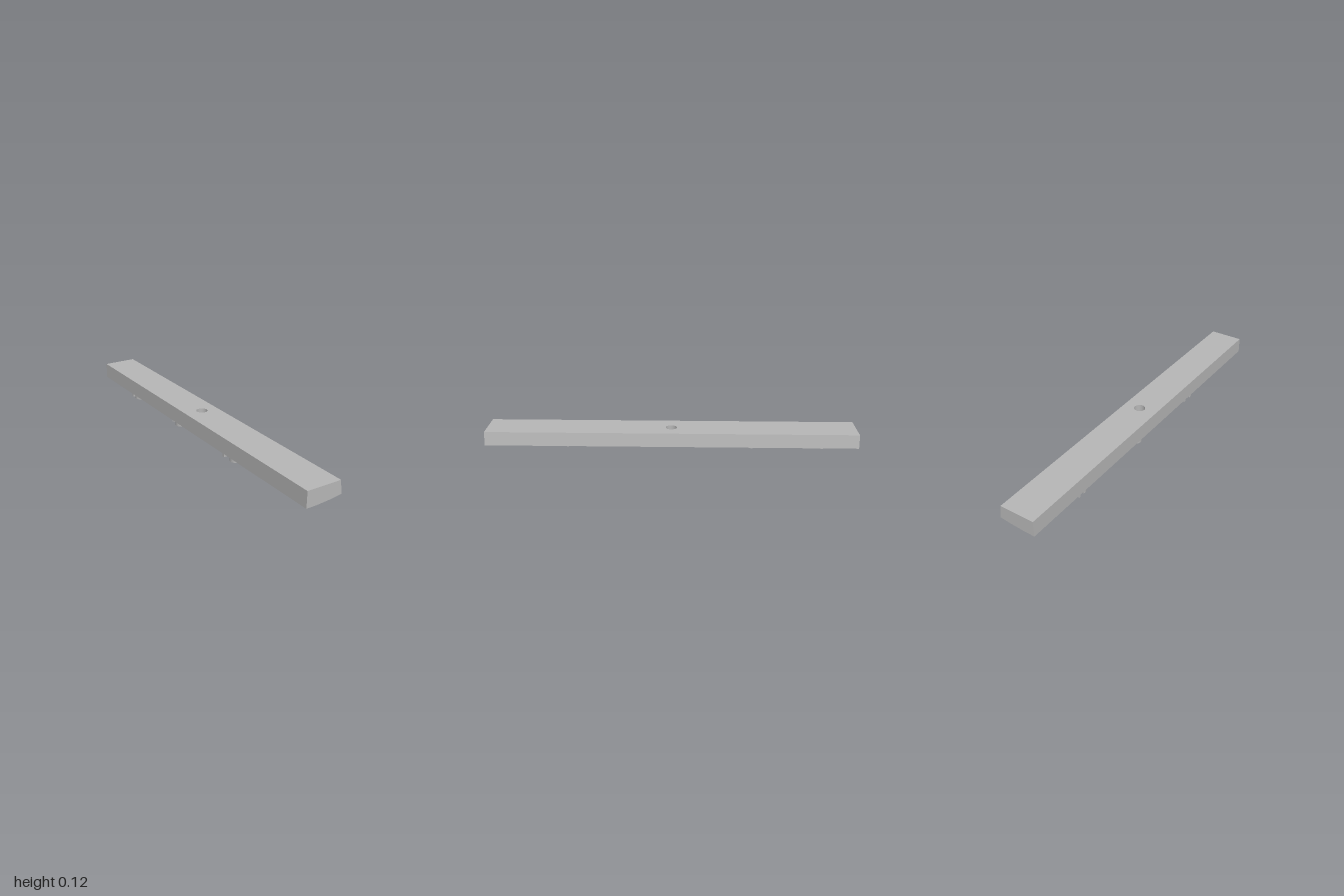
import * as THREE from 'three';

const HALF = 1, TOP = 0.115, HOLE = 0.03;
const LEFT = -0.1, RIGHT = 0.1, RIGHT_TOP = 0.09;
// gently curved underside height across the width
const underside = x => 0.031 + 0.07 * x + 0.4 * x * x;

const steel = new THREE.MeshStandardMaterial({ color: 0xb6b6b6, side: THREE.DoubleSide });
steel.name = 'grey';

// change each vertex height by a rule
function setHeights(geometry, rule) {
  const p = geometry.attributes.position;
  for (let i = 0; i < p.count; i++) p.setY(i, rule(p.getX(i), p.getY(i)));
  geometry.computeVertexNormals();
  return geometry;
}

// rectangle in plan, optionally with the round hole
function plan(x0, x1, hole) {
  const s = new THREE.Shape([[x0, -HALF], [x1, -HALF], [x1, HALF], [x0, HALF]].map(a => new THREE.Vector2(...a)));
  if (hole) s.holes.push(new THREE.Path().absarc(0, 0, HOLE, 0, Math.PI * 2, true));
  return new THREE.ShapeGeometry(s, 24);
}

export function createModel() {
  const model = new THREE.Group();
  const add = (geometry, name, parent) => {
    const m = new THREE.Mesh(geometry, steel);
    m.name = name;
    parent.add(m);
    return m;
  };

  // bar body
  const bar = new THREE.Group();
  bar.name = 'bar';
  model.add(bar);
  add(plan(LEFT, RIGHT_TOP, true).rotateX(-Math.PI / 2), 'topFace', bar).position.y = TOP;

  const steps = [LEFT, -0.07, -0.035, 0.035, 0.07, RIGHT];
  for (let i = 0; i < steps.length - 1; i++) {
    const a = steps[i], b = steps[i + 1];
    const g = plan(a, b, i === 2).rotateX(Math.PI / 2);
    const height = x => THREE.MathUtils.lerp(underside(a), underside(b), (x - a) / (b - a));
    add(setHeights(g, height), 'underside', bar);
  }

  const profile = new THREE.Shape([
    new THREE.Vector2(RIGHT_TOP, TOP), new THREE.Vector2(LEFT, TOP),
    ...steps.map(x => new THREE.Vector2(x, underside(x)))
  ]);
  add(new THREE.ShapeGeometry(profile), 'frontEnd', bar).position.z = HALF;
  const back = add(new THREE.ShapeGeometry(profile).scale(-1, 1, 1), 'backEnd', bar);
  const index = back.geometry.index;
  for (let i = 0; i < index.count; i += 3) {
    const t = index.getX(i);
    index.setX(i, index.getX(i + 1));
    index.setX(i + 1, t);
  }
  back.geometry.computeVertexNormals();
  back.rotation.y = Math.PI;
  back.geometry.scale(1, 1, 1);
  back.position.z = -HALF;

  // long side walls, with the left one leaning inward at the top
  for (const [name, low, high, turn] of [['rightWall', LEFT, LEFT, -1], ['leftWall', RIGHT, RIGHT_TOP, 1]]) {
    const g = new THREE.PlaneGeometry(2 * HALF, 1).rotateY(turn * Math.PI / 2);
    const p = g.attributes.position;
    for (let i = 0; i < p.count; i++) {
      const upper = p.getY(i) > 0;
      p.setXYZ(i, upper ? high : low, upper ? TOP : underside(low), p.getZ(i));
    }
    g.computeVertexNormals();
    add(g, name, bar);
  }

  // wall of the through hole
  const bore = new THREE.CylinderGeometry(HOLE, HOLE, 1, 48, 1, true);
  add(setHeights(bore, (x, y) => (y > 0 ? TOP : underside(x))), 'boreWall', bar);

  // ribs hanging from the underside, drawn in plan
  const ribs = new THREE.Group();
  ribs.name = 'undersideRibs';
  model.add(ribs);
  const rib = (shape, name) => {
    const g = new THREE.ExtrudeGeometry(shape, { depth: 1, bevelEnabled: false, curveSegments: 20 });
    g.rotateX(Math.PI / 2);
    add(setHeights(g, (x, y) => underside(x) + (y < -0.5 ? -0.028 : 0.002)), name, ribs);
  };
  const straight = (x0, z0, x1, z1, width, name) => {
    const a = new THREE.Vector2(x0, z0), b = new THREE.Vector2(x1, z1);
    const d = b.clone().sub(a).normalize().multiplyScalar(width / 2);
    const n = new THREE.Vector2(-d.y, d.x);
    rib(new THREE.Shape([a.clone().sub(n), b.clone().sub(n), b.clone().add(n), a.clone().add(n)]), name);
  };
  const arc = (x, z, start, end) => {
    const s = new THREE.Shape();
    s.absarc(x, z, 0.033, start, end, false);
    s.absarc(x, z, 0.022, end, start, true);
    rib(s, 'curvedRib');
  };

  for (const z of [0.567, -0.437]) straight(-0.026, z, 0.022, z, 0.011, 'shortRib');
  straight(-0.01, 0.18, 0.01, 0.18, 0.011, 'peg');
  for (const x of [-0.013, 0.013]) straight(x - 0.006, -0.82, x + 0.006, -0.82, 0.012, 'peg');
  for (const z of [0.342, -0.655]) straight(-0.088, z, -0.012, z, 0.011, 'crossRib');
  for (const z of [0.405, -0.614]) arc(-0.055, z, -0.35, Math.PI + 0.35);
  straight(-0.026, -0.1, -0.072, -0.19, 0.011, 'slantedRib');
  arc(-0.056, -0.125, 0, Math.PI * 1.25);

  return model;
}
